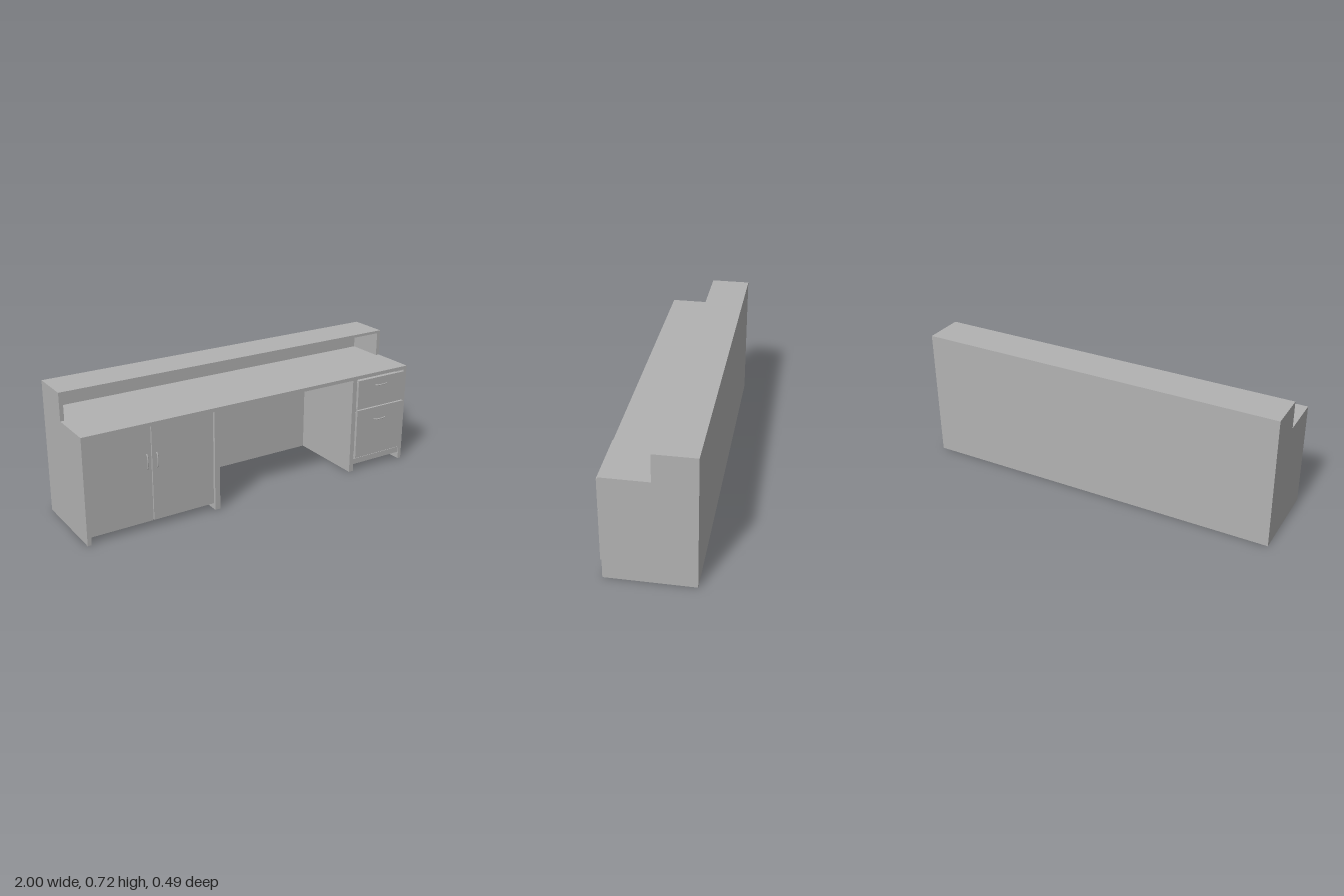
import * as THREE from 'three';

export function createModel() {
  const desk = new THREE.Group();
  desk.name = 'receptionDesk';
  const grey = new THREE.MeshStandardMaterial({ color: 0xb2b2b2 });
  grey.name = 'grey laminate';

  const BACK = -0.243, FRONT = 0.218, RISER = -0.027;
  const COUNTER = 0.572, TOP = 0.72, SLAB = 0.02, BACK_IN = -0.231;

  // Box given by its minimum and maximum on each axis
  function box(name, x0, x1, y0, y1, z0, z1, parent = desk) {
    const mesh = new THREE.Mesh(new THREE.BoxGeometry(x1 - x0, y1 - y0, z1 - z0), grey);
    mesh.position.set((x0 + x1) / 2, (y0 + y1) / 2, (z0 + z1) / 2);
    mesh.name = name;
    parent.add(mesh);
    return mesh;
  }

  // Stepped end panels
  const profile = new THREE.Shape([
    [-FRONT, 0], [-BACK, 0], [-BACK, TOP], [-RISER, TOP], [-RISER, COUNTER], [-FRONT, COUNTER],
  ].map(([z, y]) => new THREE.Vector2(z, y)));
  for (const [name, x] of [['rightEndPanel', -1], ['leftEndPanel', 0.979]]) {
    const geometry = new THREE.ExtrudeGeometry(profile, { depth: 0.021, bevelEnabled: false });
    geometry.rotateY(Math.PI / 2);
    const mesh = new THREE.Mesh(geometry, grey);
    mesh.position.x = x;
    mesh.name = name;
    desk.add(mesh);
  }

  // Back, worktop and raised shelf
  box('backPanel', -0.979, 0.979, 0, TOP - 0.015, BACK, BACK_IN);
  box('worktop', -0.979, 0.979, COUNTER - SLAB, COUNTER, BACK_IN, FRONT);
  box('riserTop', -0.979, 0.979, TOP - 0.015, TOP, BACK, RISER);

  // Knee space sides and pedestal floors
  box('cupboardSide', -0.275, -0.245, 0, COUNTER - SLAB, BACK_IN, FRONT);
  box('drawerSide', 0.615, 0.643, 0, COUNTER - SLAB, BACK_IN, FRONT);
  box('cupboardFloor', -0.979, -0.275, 0.035, 0.055, BACK_IN, 0.19);
  box('drawerFloor', 0.643, 0.979, 0.04, 0.073, BACK_IN, FRONT - 0.003);

  // Bowed handle along x, with feet on z = 0
  function handle(parent, x, y, z, vertical) {
    const curve = new THREE.CatmullRomCurve3([
      [-0.041, 0], [-0.034, 0.006], [-0.018, 0.0095], [0, 0.0105],
      [0.018, 0.0095], [0.034, 0.006], [0.041, 0],
    ].map(([a, b]) => new THREE.Vector3(a, 0, b)));
    const mesh = new THREE.Mesh(new THREE.TubeGeometry(curve, 24, 0.0035, 8), grey);
    mesh.position.set(x, y, z);
    if (vertical) mesh.rotation.z = Math.PI / 2;
    mesh.name = 'handle';
    parent.add(mesh);
  }

  // Inset cupboard doors
  const doorFront = 0.206;
  for (const [name, x0, x1, hx] of [
    ['rightDoor', -0.977, -0.632, -0.656], ['leftDoor', -0.627, -0.277, -0.601],
  ]) {
    const door = new THREE.Group();
    door.name = name;
    box('doorPanel', x0, x1, 0.035, 0.549, 0.19, doorFront, door);
    handle(door, hx, 0.363, doorFront, true);
    desk.add(door);
  }

  // Overlaid drawers with boxes behind them
  for (const [name, y0, y1, hy] of [
    ['lowerDrawer', 0.084, 0.37, 0.297], ['upperDrawer', 0.377, 0.547, 0.503],
  ]) {
    const drawer = new THREE.Group();
    drawer.name = name;
    box('drawerFront', 0.645, 0.975, y0, y1, FRONT, 0.231, drawer);
    box('drawerBox', 0.655, 0.965, y0 + 0.01, y1 - 0.02, -0.2, FRONT, drawer);
    handle(drawer, 0.807, hy, 0.231, false);
    desk.add(drawer);
  }
  box('drawerRail', 0.643, 0.979, 0.36, 0.385, 0.195, FRONT - 0.001);

  return desk;
}
